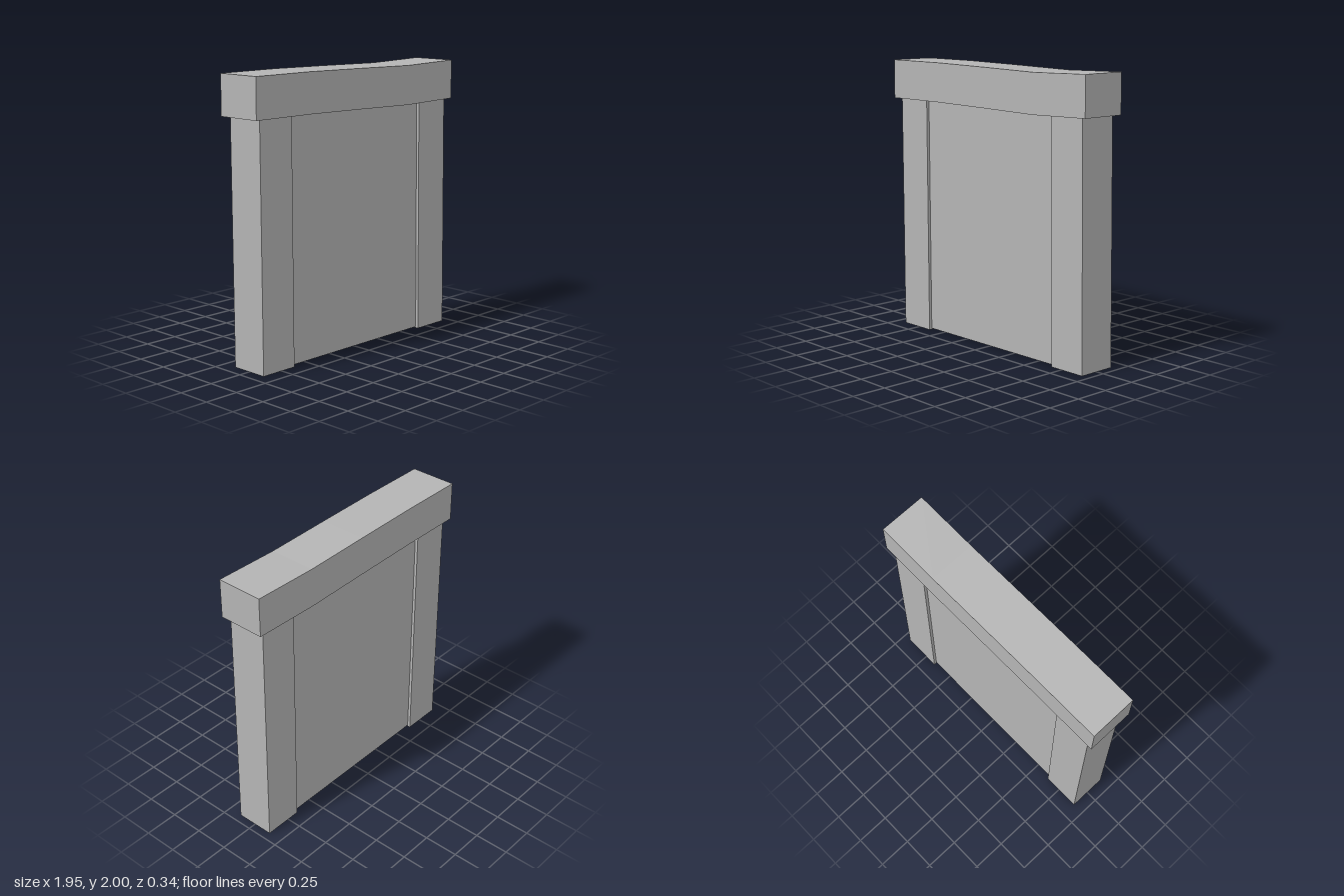
import * as THREE from 'three';

const stone = new THREE.MeshStandardMaterial({ color: 0xb4b4b4 });
stone.name = 'grey stone';

// Extrudes a front outline evenly to both sides of z = 0
function slab(name, outline, halfDepth) {
  const shape = new THREE.Shape(outline.map(([x, y]) => new THREE.Vector2(x, y)));
  const geometry = new THREE.ExtrudeGeometry(shape, { depth: halfDepth * 2, bevelEnabled: false });
  geometry.translate(0, 0, -halfDepth);
  const mesh = new THREE.Mesh(geometry, stone);
  mesh.name = name;
  return mesh;
}

export function createModel() {
  const group = new THREE.Group();
  group.name = 'doorway';

  // Sagging lintel: top line and the matching underside
  const sag = [[-0.975, 2], [-0.49, 2], [0, 1.992], [0.49, 1.982], [0.97, 1.993]];
  const drop = 0.282;
  const underside = sag.map(([x, y]) => [x, y - drop]);
  group.add(slab('lintel', [...underside, ...[...sag].reverse()], 0.17));

  // Slightly leaning posts
  group.add(slab('rightPost', [[-0.914, 0], [-0.63, 0], [-0.638, 1.72], [-0.922, 1.72]], 0.142));
  group.add(slab('leftPost', [[0.656, 0], [0.941, 0], [0.922, 1.71], [0.639, 1.71]], 0.142));

  // Recessed panel between the posts, following the sag of the lintel
  group.add(slab('panel', [
    [-0.64, 0.008], [0.66, 0.008], [0.645, 1.705],
    [0.49, 1.702], [0, 1.712], [-0.49, 1.72], [-0.645, 1.72],
  ], 0.12));

  return group;
}
